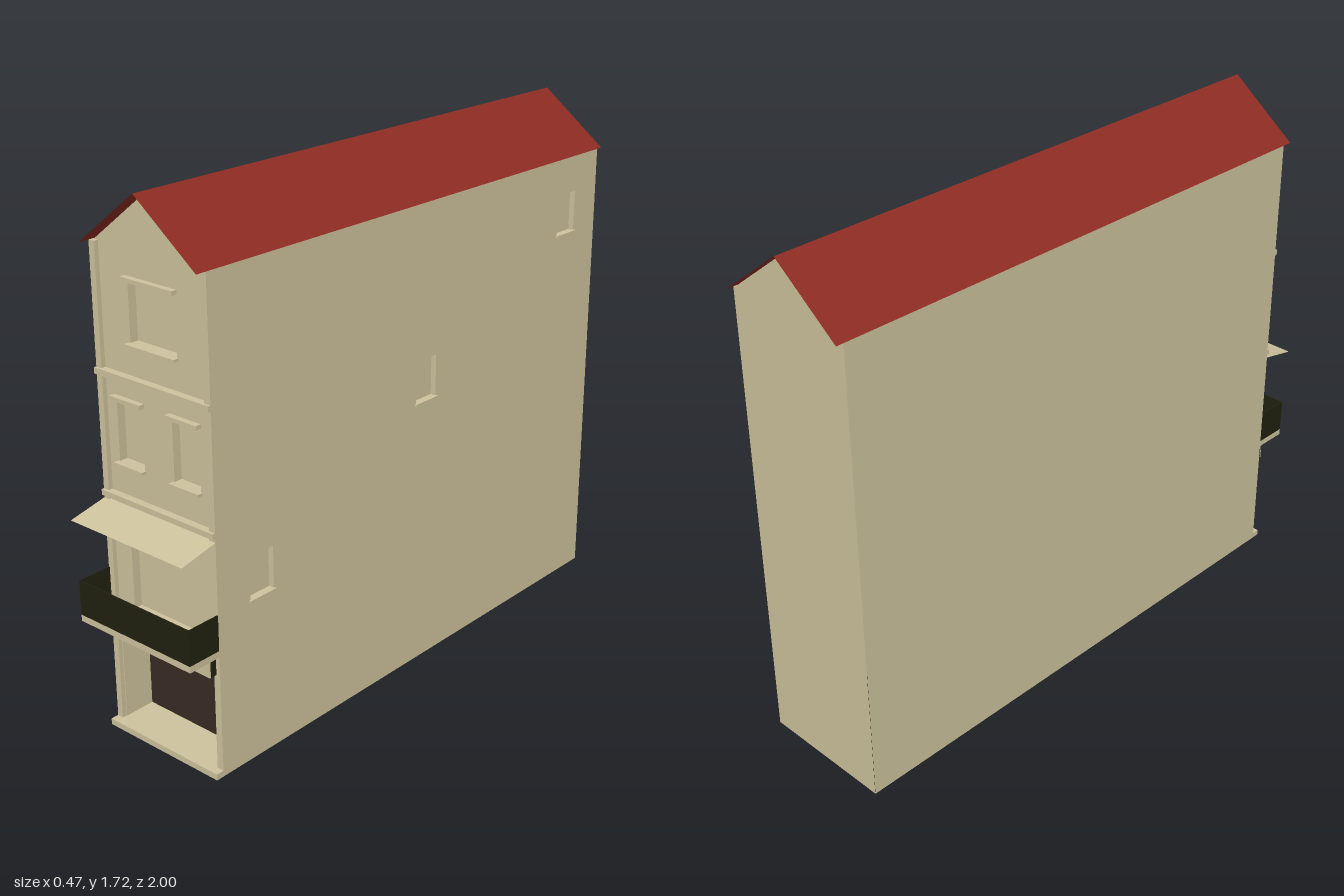
import * as THREE from 'three';

const mat = (name, color, side = THREE.DoubleSide) => {
  const m = new THREE.MeshStandardMaterial({ color, side });
  m.name = name;
  return m;
};

export function createModel() {
  const wall = mat('plaster', 0xcdc29d);
  const red = mat('roofRed', 0x8e2c23);
  const iron = mat('balconyDark', 0x20210f);
  const brown = mat('shopBrown', 0x382c23);
  const house = new THREE.Group();
  house.name = 'townHouse';

  const L = -0.235, R = 0.225, MID = -0.005, W = R - L;
  const FRONT = 0.87, FACE = 0.855, BACK = -0.975, EAVE = 1.545, RIDGE = 1.72;
  const REVEAL = 0.03;

  const add = (name, geo, m) => {
    const mesh = new THREE.Mesh(geo, m);
    mesh.name = name;
    house.add(mesh);
    return mesh;
  };
  // box given by its limits
  const box = (name, x0, x1, y0, y1, z0, z1, m = wall) => {
    const b = add(name, new THREE.BoxGeometry(x1 - x0, y1 - y0, z1 - z0), m);
    b.position.set((x0 + x1) / 2, (y0 + y1) / 2, (z0 + z1) / 2);
    return b;
  };
  // flat four-cornered sheet
  const quad = (name, pts, m = wall) => {
    const g = new THREE.BufferGeometry();
    const order = [0, 1, 2, 0, 2, 3].flatMap((i) => pts[i]);
    g.setAttribute('position', new THREE.Float32BufferAttribute(order, 3));
    g.computeVertexNormals();
    return add(name, g, m);
  };
  const shapeOf = (pts, holes = []) => {
    const s = new THREE.Shape(pts.map((p) => new THREE.Vector2(...p)));
    for (const [x0, x1, y0, y1] of holes) {
      s.holes.push(new THREE.Path([[x0, y0], [x0, y1], [x1, y1], [x1, y0]].map((p) => new THREE.Vector2(...p))));
    }
    return s;
  };
  const gable = [[L + 0.001, 0], [R - 0.001, 0], [R - 0.001, EAVE - 0.003], [MID, RIDGE - 0.003], [L + 0.001, EAVE - 0.003]];

  // front facade with window and shop openings
  const windows = [
    [-0.1, 0.086, 1.27, 1.452],
    [-0.173, -0.067, 0.892, 1.085],
    [0.054, 0.16, 0.892, 1.085],
    [-0.145, 0.135, 0.42, 0.716],
  ];
  const shop = [-0.21, 0.2, 0.02, 0.325];
  const facade = add('facade', new THREE.ExtrudeGeometry(shapeOf(gable, [...windows, shop]),
    { depth: REVEAL, bevelEnabled: false }), wall);
  facade.position.z = FACE - REVEAL;
  windows.forEach(([x0, x1, y0, y1], i) => {
    box('windowPane', x0 - 0.002, x1 + 0.002, y0 - 0.002, y1 + 0.002, FACE - REVEAL - 0.004, FACE - REVEAL + 0.002);
    box('lintel', x0 - 0.009, x1 + 0.009, y1, y1 + 0.013, FACE - 0.005, FRONT + 0.004);
    if (i < 3) box('sill', x0 - 0.006, x1 + 0.006, y0 - 0.009, y0, FACE - 0.005, FRONT + 0.004);
  });

  // corner pilasters and cornices
  box('leftPilaster', R - 0.024, R, 0.02, EAVE, FACE - 0.01, FRONT);
  box('rightPilaster', L, L + 0.022, 0.02, EAVE, FACE - 0.01, FRONT);
  box('upperCornice', L, R, 1.153, 1.172, FACE - 0.005, FRONT + 0.009);
  box('lowerCornice', L, R, 0.774, 0.792, FACE - 0.005, FRONT + 0.009);

  // side wall with three small windows (u = -z)
  const sideWins = [[0.69, 0.53, 0.668], [-0.06, 0.908, 1.047], [-0.802, 1.288, 1.425]];
  const holes = sideWins.map(([z, y0, y1]) => [-z - 0.049, -z + 0.049, y0, y1]);
  const sideGeo = new THREE.ExtrudeGeometry(
    shapeOf([[-FRONT, 0], [-BACK, 0], [-BACK, EAVE], [-FRONT, EAVE]], holes), { depth: 0.02, bevelEnabled: false });
  sideGeo.rotateY(Math.PI / 2);
  add('leftWall', sideGeo, wall).position.x = R - 0.02;
  for (const [z, y0, y1] of sideWins) {
    box('sidePane', R - 0.025, R - 0.019, y0 - 0.002, y1 + 0.002, z - 0.051, z + 0.051);
    box('sideSill', R - 0.02, R + 0.007, y0 - 0.006, y0 + 0.001, z - 0.054, z + 0.054);
  }

  // plain wall, back wall
  quad('rightWall', [[L, 0, BACK], [L, 0, FRONT], [L, EAVE, FRONT], [L, EAVE, BACK]]);
  const backGeo = new THREE.ShapeGeometry(shapeOf(gable));
  backGeo.rotateY(Math.PI);
  const back = add('backWall', backGeo, wall);
  back.position.set(2 * MID, 0, BACK);

  // roof slopes
  quad('leftRoof', [[R, EAVE, 0.905], [R, EAVE, -1], [MID, RIDGE, -1], [MID, RIDGE, 0.905]], red);
  quad('rightRoof', [[L, EAVE, -1], [L, EAVE, 0.905], [MID, RIDGE, 0.905], [MID, RIDGE, -1]], red);

  // shop recess
  const [sx0, sx1, sy0, sy1] = shop, zi = 0.75, zo = FACE - REVEAL;
  quad('shopBack', [[sx0, sy0, zi], [sx1, sy0, zi], [sx1, sy1, zi], [sx0, sy1, zi]], brown);
  quad('shopCeiling', [[sx0, sy1, zi], [sx1, sy1, zi], [sx1, sy1, zo], [sx0, sy1, zo]]);
  quad('shopSide', [[sx0, sy0, zo], [sx0, sy0, zi], [sx0, sy1, zi], [sx0, sy1, zo]]);
  quad('shopSide', [[sx1, sy0, zi], [sx1, sy0, zo], [sx1, sy1, zo], [sx1, sy1, zi]]);
  quad('shopFloor', [[sx0, sy0, zo], [sx1, sy0, zo], [sx1, sy0, zi], [sx0, sy0, zi]]);
  box('doorstep', L, R, 0, 0.02, FACE - REVEAL, 0.897);

  // fascia box under the balcony: dark body, pale face
  box('fasciaBody', -0.222, 0.21, 0.337, 0.4, FACE - 0.005, 0.892, iron);
  box('fasciaFace', -0.222, 0.21, 0.337, 0.4, 0.892, 0.896);

  // balcony
  box('balconySlab', L, R, 0.4, 0.421, FACE - 0.005, 0.985);
  box('frontRailing', L, R, 0.421, 0.535, 0.981, 0.985, iron);
  box('sideRailing', L, L + 0.004, 0.421, 0.535, FRONT, 0.981, iron);
  box('sideRailing', R - 0.004, R, 0.421, 0.535, FRONT, 0.981, iron);

  // awning
  quad('awning', [[L, 0.735, 1], [R, 0.735, 1], [R, 0.766, FACE], [L, 0.766, FACE]]);

  return house;
}
